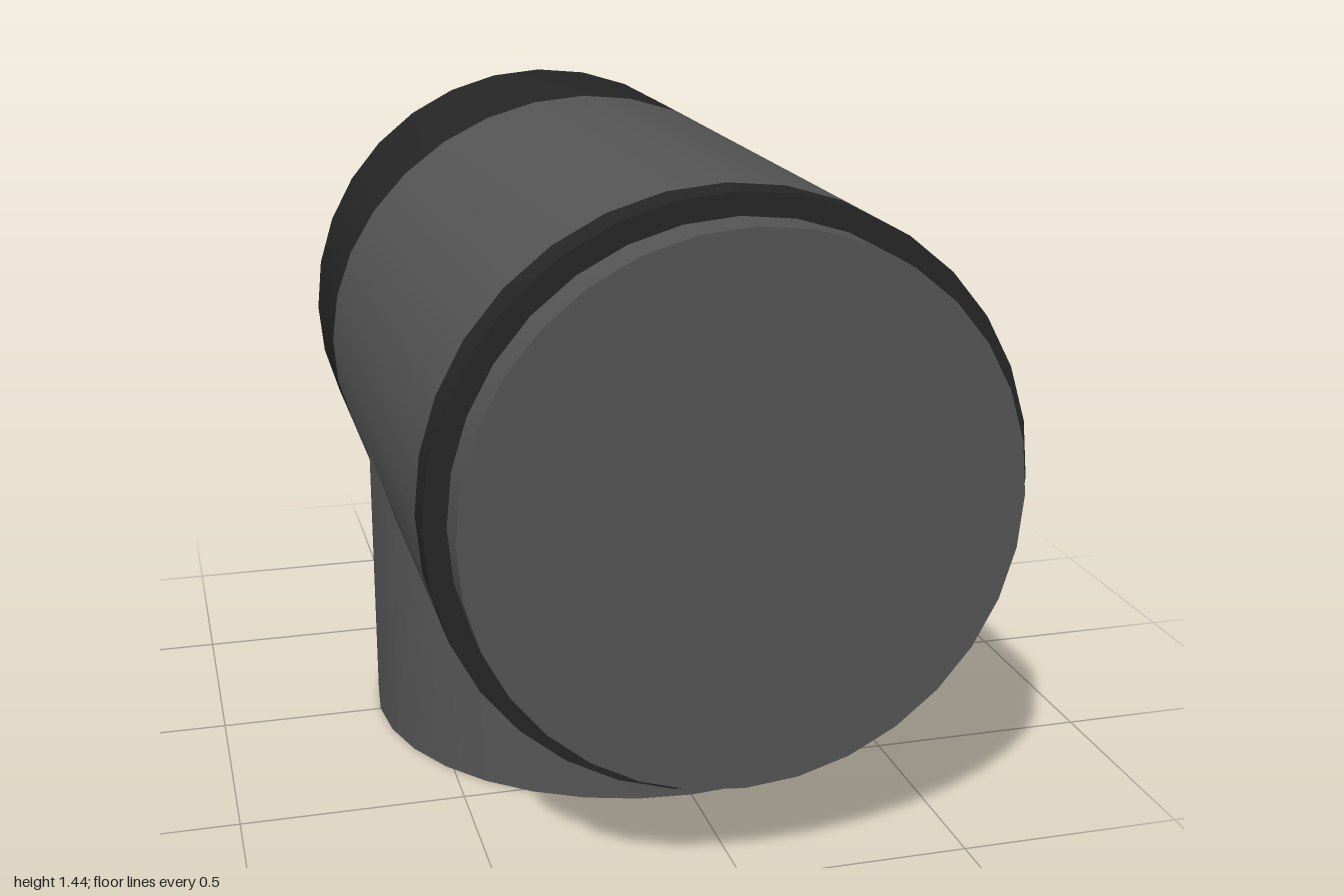
import * as THREE from 'three';
import { toCreasedNormals } from 'three/addons/utils/BufferGeometryUtils.js';

const SIDES = 32;
const R = 0.637;        // barrel radius
const AXIS_Y = 0.8;     // height of the barrel axis
const SEAM_Z = -0.57;   // seam between barrel and rear cap, on the axis
const SLOPE = 0.267;    // lean of that seam

const grey = new THREE.MeshStandardMaterial({ color: 0x555555 });
const black = new THREE.MeshStandardMaterial({ color: 0x262626 });

// Turned shape from [radius, height] pairs
function turned(points) {
  return new THREE.LatheGeometry(points.map(([r, h]) => new THREE.Vector2(r, h)), SIDES);
}

// Slants every vertex lying on the seam plane
function slantSeam(geometry) {
  const p = geometry.attributes.position;
  for (let i = 0; i < p.count; i++) {
    if (Math.abs(p.getZ(i) - SEAM_Z) < 1e-4) p.setZ(i, SEAM_Z + p.getY(i) * SLOPE);
  }
  return geometry;
}

function createModel() {
  const group = new THREE.Group();

  function add(name, geometry, material) {
    const mesh = new THREE.Mesh(toCreasedNormals(geometry, 0.6), material);
    mesh.name = name;
    group.add(mesh);
    return mesh;
  }

  // Parts turned about the horizontal axis, profile heights running along z
  function addAlongZ(name, points, material) {
    add(name, slantSeam(turned(points).rotateX(Math.PI / 2)), material).position.y = AXIS_Y;
  }

  // Barrel, cut at a slant at the rear
  addAlongZ('barrel', [[R, SEAM_Z], [R, 0.81]], grey);

  // Rear cap with a rounded edge
  const round = 0.08;
  const capProfile = [[0, -1]];
  for (let i = 0; i <= 6; i++) {
    const a = (i / 6) * Math.PI / 2;
    capProfile.push([R - round + Math.sin(a) * round, -1 + round - Math.cos(a) * round]);
  }
  capProfile.push([R, SEAM_Z]);
  addAlongZ('rearCap', capProfile, black);

  // Front ring and the plug standing out of it
  addAlongZ('frontRing', [[R, 0.81], [R, 0.9], [0.58, 0.9]], black);
  addAlongZ('frontPlug', [[0.588, 0.85], [0.588, 1], [0, 1]], grey);

  // Branch pipe with a thin rim, open below
  add('branchPipe', turned([[0.588, 0.1], [0.588, 0], [0.62, 0], [0.62, 0.8]]), grey);

  // Dark disc closing the branch pipe just inside its mouth
  add('branchSeal', turned([[0, 0.1], [0.588, 0.1]]), black);

  return group;
}

export { createModel };
